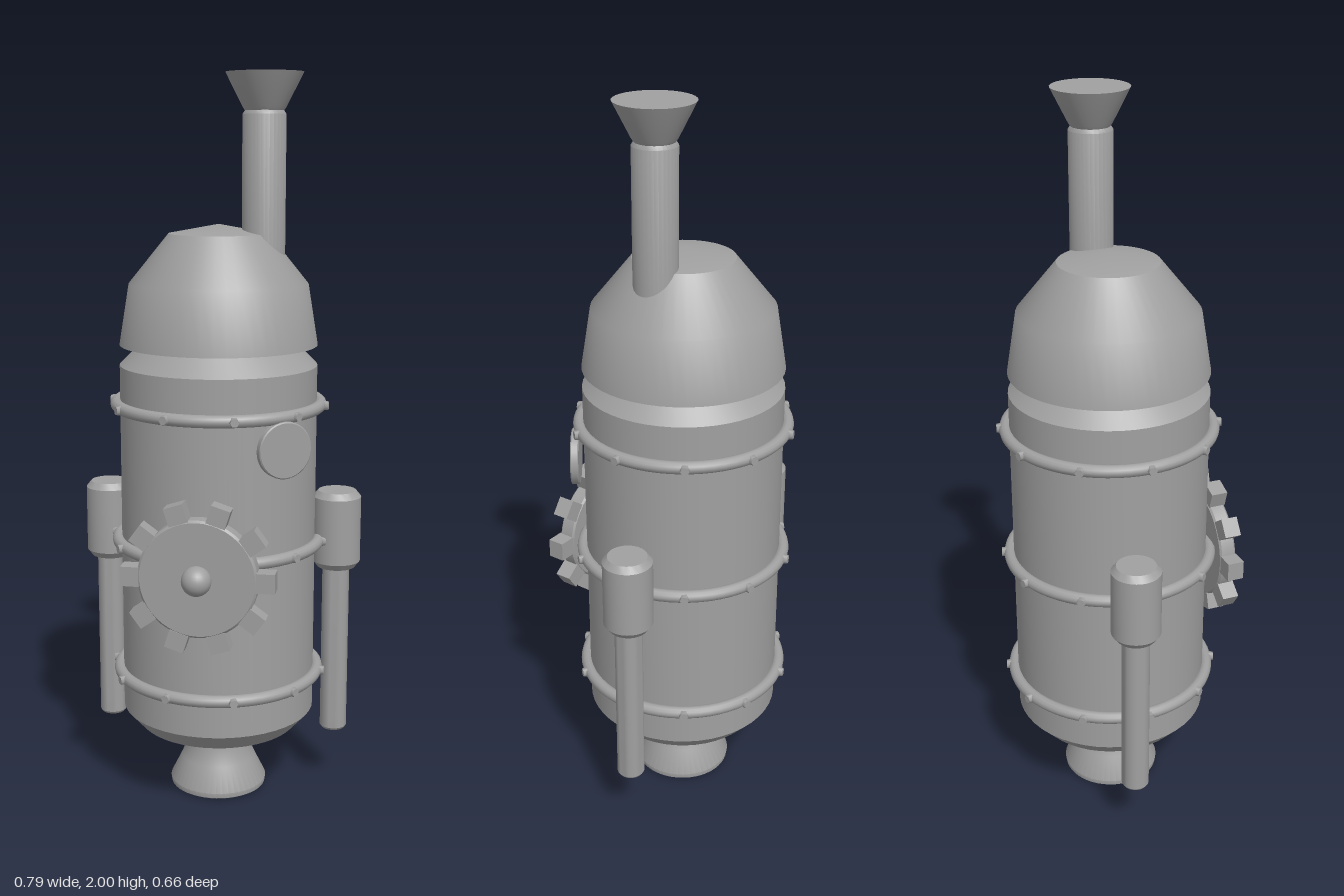
import * as THREE from 'three';
import { toCreasedNormals } from 'three/addons/utils/BufferGeometryUtils.js';

export function createModel() {
  const model = new THREE.Group();
  const steel = new THREE.MeshStandardMaterial({ color: 0xa0a0a0 });
  steel.name = 'steel grey';
  const axisZ = -0.036;

  function add(name, geometry, x = 0, y = 0, z = 0, parent = model) {
    const mesh = new THREE.Mesh(geometry, steel);
    mesh.name = name;
    mesh.position.set(x, y, z);
    parent.add(mesh);
    return mesh;
  }

  // Turned part from [radius, height] pairs, listed bottom to top, with sharp edges kept
  function turned(profile, sides = 48) {
    const points = profile.map(([r, y]) => new THREE.Vector2(r, y));
    return toCreasedNormals(new THREE.LatheGeometry(points, sides), 0.6);
  }

  // Boiler body with chamfered ends
  add('body', turned([[0, 0.2], [0.225, 0.2], [0.27, 0.25], [0.27, 1.23], [0.215, 1.285], [0, 1.285]]), 0, 0, axisZ);

  // Stepped dome with a shallow conical crown
  add('dome', turned([[0, 1.285], [0.27, 1.285], [0.243, 1.45], [0.135, 1.583], [0, 1.608]]), 0, 0, axisZ);

  // Flared nozzle, hollow underneath
  add('nozzle', turned([
    [0, 0.13], [0.06, 0.13], [0.125, 0], [0.135, 0.006], [0.137, 0.02], [0.105, 0.085],
    [0.088, 0.13], [0.088, 0.16], [0.098, 0.205], [0, 0.205],
  ]), 0, 0, axisZ);

  // Chimney and funnel
  add('chimney', turned([[0, 1.42], [0.058, 1.42], [0.058, 1.893], [0.05, 1.905], [0, 1.905]], 32), 0.122, 0, axisZ);
  add('chimneyFunnel', turned([[0, 1.9], [0.05, 1.9], [0.058, 1.912], [0.103, 2], [0, 2]], 32), 0.122, 0, axisZ);

  // Riveted bands around the body
  for (const y of [0.36, 0.74, 1.123]) {
    const band = new THREE.Group();
    band.name = 'band';
    band.position.set(0, y, axisZ);
    model.add(band);
    add('bandRing', new THREE.TorusGeometry(0.28, 0.017, 12, 64), 0, 0, 0, band).rotation.x = Math.PI / 2;
    for (let i = 0; i < 10; i++) {
      const a = (i / 10) * Math.PI * 2;
      const rivet = add('rivet', new THREE.CylinderGeometry(0.012, 0.015, 0.02, 6),
        0.294 * Math.cos(a), 0, 0.294 * Math.sin(a), band);
      rivet.rotation.set(0, -a, -Math.PI / 2);
    }
  }

  // Gear wheel on the front
  const gear = new THREE.Group();
  gear.name = 'gear';
  gear.position.set(0, 0.71, 0.26);
  model.add(gear);
  const disc = turned([[0, -0.025], [0.155, -0.025], [0.16, -0.02], [0.16, 0.017], [0.154, 0.023], [0, 0.023]]);
  add('gearDisc', disc, 0, 0, 0, gear).rotation.x = Math.PI / 2;
  for (let i = 0; i < 10; i++) {
    const a = (i / 10) * Math.PI * 2;
    const tooth = add('gearTooth', new THREE.BoxGeometry(0.05, 0.053, 0.047),
      0.18 * Math.cos(a), 0.18 * Math.sin(a), 0, gear);
    tooth.rotation.z = a;
  }
  add('gearHub', new THREE.SphereGeometry(0.04, 24, 16), 0, 0, 0.03, gear);

  // Tilted round plate on the upper front
  const plate = add('roundPlate', turned(
    [[0, -0.011], [0.073, -0.011], [0.076, -0.008], [0.076, 0.008], [0.073, 0.011], [0, 0.011]], 32), 0.21, 1.04, 0.168);
  plate.rotation.set(Math.PI / 2, 0, -0.61);

  // Side pipes with wide caps
  for (const side of [-1, 1]) {
    const pipe = new THREE.Group();
    pipe.name = side > 0 ? 'leftPipe' : 'rightPipe';
    pipe.position.set(side * 0.327, 0, -0.091);
    model.add(pipe);
    add('pipeTube', turned([[0, 0.17], [0.033, 0.17], [0.038, 0.177], [0.038, 0.7], [0, 0.7]], 24), 0, 0, 0, pipe);
    add('pipeCap', turned([[0, 0.655], [0.053, 0.655], [0.067, 0.673], [0.067, 0.858], [0.053, 0.875], [0, 0.875]], 32), 0, 0, 0, pipe);
  }

  return model;
}
